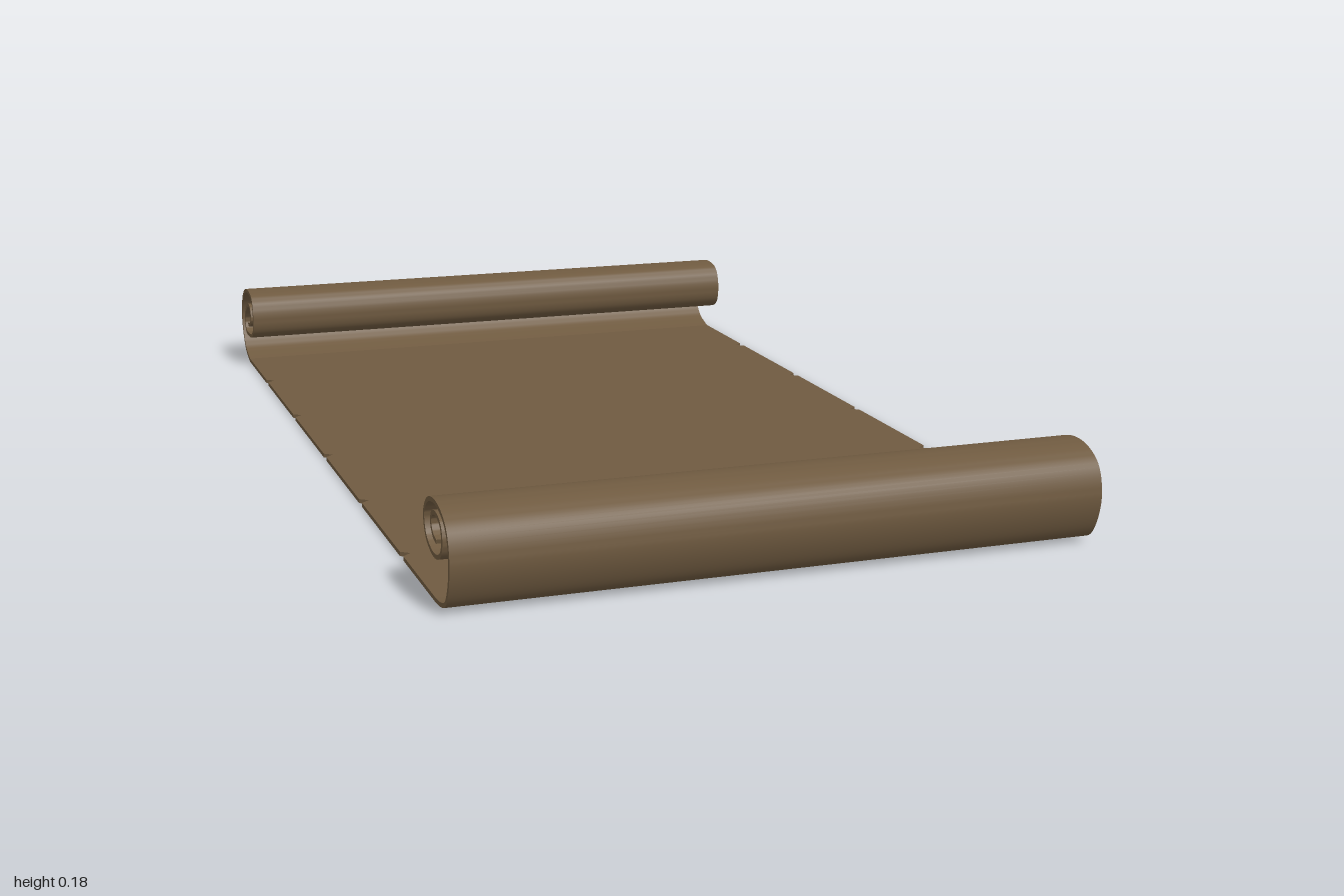
import * as THREE from 'three';
import { toCreasedNormals } from 'three/addons/utils/BufferGeometryUtils.js';

const HALF_WIDTH = 0.594;
const THICK = 0.008;
const SEAM = 0.91; // where the flat sheet meets each roll

// Flat sheet outline with small triangular nicks along both long edges
function sheetGeometry() {
  const nicks = [-0.665, -0.333, 0, 0.333, 0.665];
  const depth = 0.016, half = 0.013;
  const edge = [[HALF_WIDTH, -SEAM]];
  for (const z of nicks) {
    edge.push([HALF_WIDTH, z - half], [HALF_WIDTH - depth, z], [HALF_WIDTH, z + half]);
  }
  edge.push([HALF_WIDTH, SEAM]);
  const outline = [...edge, ...edge.map(([x, z]) => [-x, z]).reverse()];
  const shape = new THREE.Shape(outline.map(([x, z]) => new THREE.Vector2(x, z)));
  const geometry = new THREE.ExtrudeGeometry(shape, { depth: THICK, bevelEnabled: false });
  geometry.rotateX(Math.PI / 2);
  geometry.translate(0, THICK, 0);
  return geometry;
}

// Curled strip: a spiral centre line given thickness, extruded across the width
function rollGeometry(path) {
  const curve = new THREE.CatmullRomCurve3(
    path.map(([z, y]) => new THREE.Vector3(-z, y, 0)), false, 'centripetal');
  const sideA = [], sideB = [];
  const steps = 110;
  for (let i = 0; i <= steps; i++) {
    const p = curve.getPoint(i / steps);
    const t = curve.getTangent(i / steps);
    const nx = -t.y * THICK / 2, ny = t.x * THICK / 2;
    sideA.push(new THREE.Vector2(p.x + nx, Math.max(0, p.y + ny)));
    sideB.push(new THREE.Vector2(p.x - nx, Math.max(0, p.y - ny)));
  }
  const shape = new THREE.Shape([...sideA, ...sideB.reverse()]);
  const geometry = new THREE.ExtrudeGeometry(shape, { depth: 2 * HALF_WIDTH, bevelEnabled: false });
  geometry.translate(0, 0, -HALF_WIDTH);
  geometry.rotateY(Math.PI / 2);
  return toCreasedNormals(geometry, 0.7);
}

export function createModel() {
  const group = new THREE.Group();
  group.name = 'scroll';
  const parchment = new THREE.MeshStandardMaterial({ color: 0x6f5a40 });
  parchment.name = 'brown parchment';

  const add = (name, geometry) => {
    const mesh = new THREE.Mesh(geometry, parchment);
    mesh.name = name;
    group.add(mesh);
  };

  add('sheet', sheetGeometry());

  // Spiral centre lines as [z, y], from the sheet inward
  add('frontRoll', rollGeometry([
    [0.905, 0.004], [0.935, 0.007], [0.967, 0.018], [0.989, 0.055], [0.996, 0.1],
    [0.981, 0.145], [0.945, 0.168], [0.9, 0.174], [0.858, 0.163], [0.834, 0.134],
    [0.845, 0.1], [0.875, 0.084], [0.91, 0.081], [0.942, 0.094], [0.953, 0.12],
    [0.944, 0.144], [0.917, 0.155], [0.89, 0.15], [0.881, 0.133], [0.893, 0.115],
    [0.915, 0.108],
  ]));
  add('backRoll', rollGeometry([
    [-0.905, 0.004], [-0.925, 0.01], [-0.957, 0.023], [-0.985, 0.057], [-0.996, 0.1],
    [-0.977, 0.144], [-0.94, 0.168], [-0.893, 0.174], [-0.85, 0.163], [-0.834, 0.13],
    [-0.84, 0.09], [-0.865, 0.073], [-0.9, 0.069], [-0.94, 0.071], [-0.955, 0.095],
    [-0.935, 0.124], [-0.9, 0.141], [-0.877, 0.134], [-0.869, 0.112], [-0.883, 0.097],
    [-0.91, 0.092],
  ]));

  return group;
}
